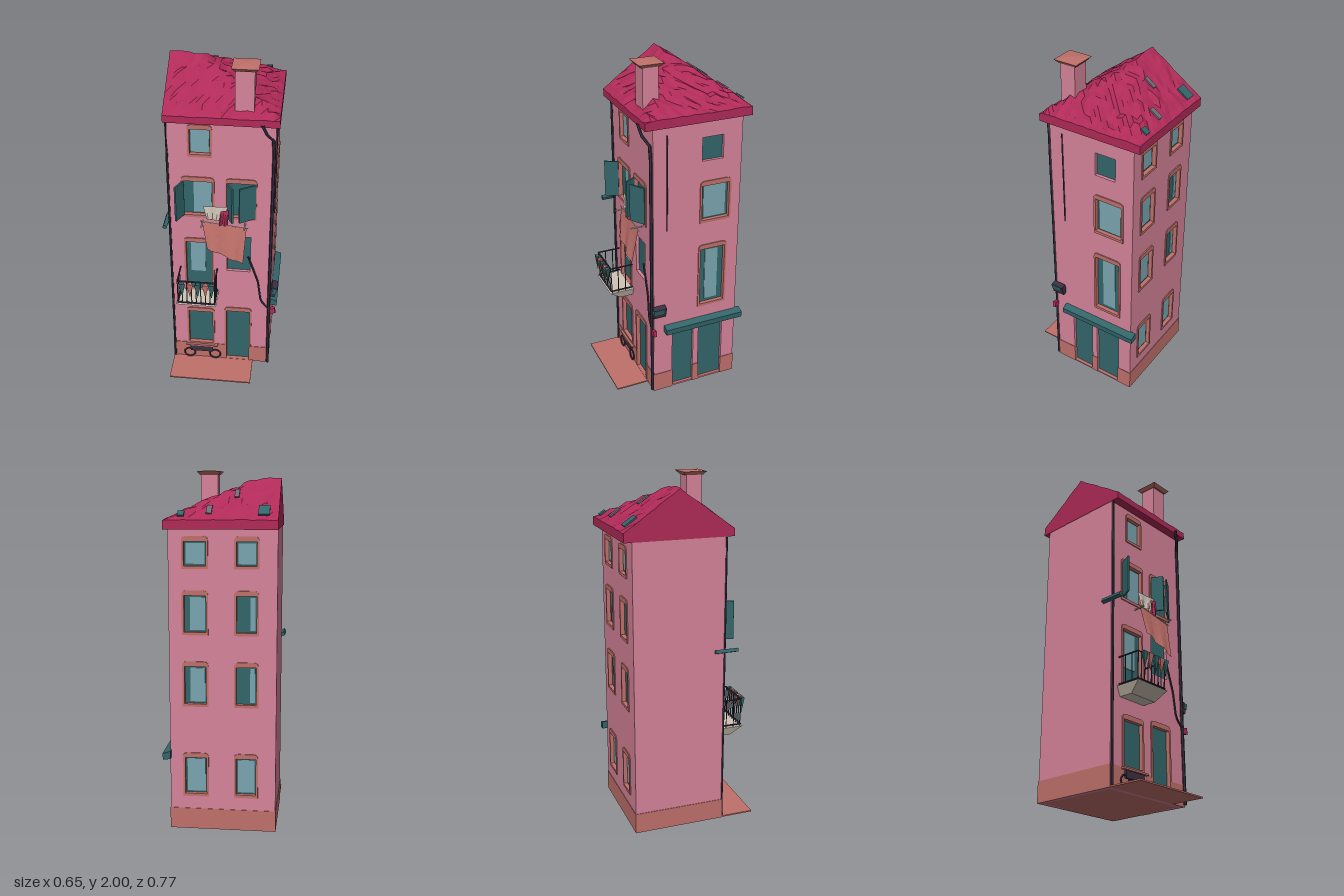
import * as THREE from 'three';

const mat = (name, color, extra = {}) => {
  const m = new THREE.MeshStandardMaterial({ color, flatShading: true, ...extra });
  m.name = name;
  return m;
};

export function createModel() {
  const DS = { side: THREE.DoubleSide };
  const pink = mat('pink plaster', 0xd6849a);
  const crimson = mat('crimson tile', 0xb02a58, DS);
  const terracotta = mat('terracotta', 0xc0706a, DS);
  const teal = mat('dark teal paint', 0x32666a, DS);
  const glass = mat('pale glass', 0x7aa5b0);
  const cream = mat('cream stone', 0xcfc5b6, DS);
  const dark = mat('dark metal', 0x3a3142, DS);
  const slate = mat('grey moss', 0x6c6a74, DS);

  const house = new THREE.Group();
  house.name = 'townhouse';
  const add = (name, geo, material, parent = house) => {
    const m = new THREE.Mesh(geo, material);
    m.name = name;
    parent.add(m);
    return m;
  };
  // Box given by its minimum and maximum corners
  const box = (name, x0, x1, y0, y1, z0, z1, material, parent) => {
    const m = add(name, new THREE.BoxGeometry(x1 - x0, y1 - y0, z1 - z0), material, parent);
    m.position.set((x0 + x1) / 2, (y0 + y1) / 2, (z0 + z1) / 2);
    return m;
  };
  const rect = (T, x0, x1, y0, y1) =>
    new T([[x0, y0], [x1, y0], [x1, y1], [x0, y1]].map(p => new THREE.Vector2(...p)));
  const V = p => new THREE.Vector3(...p);
  const tube = (name, pts, r, material, parent) =>
    add(name, new THREE.TubeGeometry(new THREE.CatmullRomCurve3(pts.map(V), false, 'catmullrom', 0.1), pts.length * 4, r, 6), material, parent);

  // Wall with recessed openings; each opening is [u0, u1, y0, y1, glass rectangle or null, has surround]
  const wall = (name, u0, u1, pos, turn, openings) => {
    const g = new THREE.Group();
    g.name = name;
    g.position.set(...pos);
    g.rotation.y = turn;
    house.add(g);
    const shape = rect(THREE.Shape, u0, u1, 0, 1.7);
    for (const [a, b, c, d] of openings) shape.holes.push(rect(THREE.Path, a - 0.003, b + 0.003, c - 0.003, d + 0.003));
    const geo = new THREE.ExtrudeGeometry(shape, { depth: 0.025, bevelEnabled: false });
    add('plaster', geo.translate(0, 0, -0.025), pink, g);
    for (const [a, b, c, d, pane, trim] of openings) {
      box('panel', a - 0.003, b + 0.003, c - 0.003, d + 0.003, -0.024, -0.018, teal, g);
      if (pane) box('pane', ...pane, -0.018, -0.014, glass, g);
      if (!trim) continue;
      const l = a - 0.012, r = b + 0.012, t = d + 0.028, e = Math.max(c - 0.016, 0.002);
      const s = new THREE.Shape();
      s.moveTo(l, e); s.lineTo(r, e); s.lineTo(r, t - 0.025);
      s.quadraticCurveTo(r, t, r - 0.025, t); s.lineTo(l + 0.025, t);
      s.quadraticCurveTo(l, t, l, t - 0.025); s.lineTo(l, e);
      s.holes.push(rect(THREE.Path, a, b, c, d));
      const f = new THREE.ExtrudeGeometry(s, { depth: 0.024, bevelEnabled: false, curveSegments: 3 });
      add('surround', f.translate(0, 0, -0.018), terracotta, g);
    }
    // Plinth band, broken at the doors
    let from = u0 - 0.003;
    const doors = openings.filter(o => o[2] < 0.1).sort((p, q) => p[0] - q[0]);
    for (const [a, b] of [...doors, [u1 + 0.003, 0]]) {
      box('plinth', from, a, 0, 0.12, -0.002, 0.003, terracotta, g);
      from = b;
    }
    return g;
  };

  const front = [
    [-0.175, -0.065, 1.48, 1.63, [-0.17, -0.07, 1.485, 1.625], true],
    [-0.215, -0.055, 1.09, 1.31, [-0.16, -0.06, 1.1, 1.3], true],
    [0.03, 0.18, 1.09, 1.31, null, true],
    [-0.21, -0.06, 0.55, 0.9, [-0.185, -0.1, 0.68, 0.89], true],
    [0.03, 0.16, 0.71, 0.95, null, false],
    [-0.205, -0.06, 0.13, 0.38, null, true],
    [0.025, 0.165, 0.01, 0.4, null, true],
  ];
  const right = [
    [0.1, 0.22, 1.46, 1.59, null, false],
    [0.1, 0.265, 1.1, 1.31, [0.115, 0.25, 1.11, 1.3], true],
    [0.097, 0.25, 0.55, 0.915, [0.135, 0.215, 0.57, 0.9], true],
    [-0.07, 0.06, 0.012, 0.41, null, false],
    [0.1, 0.25, 0.012, 0.41, null, false],
  ];
  const back = [];
  [[0.21, 0.42], [0.73, 0.94], [1.13, 1.33], [1.49, 1.62]].forEach(([c, d], row) => {
    for (const u of [-0.14, 0.14]) {
      const mostlyTeal = row === 1 || row === 2;
      const half = u > 0 ? 0.055 : 0.06;
      const left = u - half + (mostlyTeal ? (u > 0 ? 0.075 : 0.03) : 0.01);
      back.push([u - half, u + half, c, d, [left, u + half - 0.008, c + 0.01, d - 0.01], true]);
    }
  });
  wall('frontWall', -0.305, 0.285, [0, 0, 0.19], 0, front);
  wall('rightWall', -0.19, 0.335, [0.285, 0, 0], Math.PI / 2, right);
  wall('backWall', -0.285, 0.305, [0, 0, -0.335], Math.PI, back);
  wall('leftWall', -0.335, 0.19, [-0.305, 0, 0], -Math.PI / 2, []);
  box('floor', -0.304, 0.284, 0, 0.01, -0.334, 0.189, terracotta);
  box('pavement', -0.305, 0.19, 0, 0.008, 0.19, 0.39, terracotta);

  // Rough roof: gable at one end, hipped at the other
  const height = (x, z) => Math.min(
    1.725 + (0.24 - z) * 0.72, 1.735 + (z + 0.38) * 0.69, 1.735 + (0.305 - x) * 0.46, 1.95);
  const hash = (a, b) => {
    const s = Math.sin(Math.round(a * 500) * 12.99 + Math.round(b * 500) * 78.23) * 43758.5;
    return s - Math.floor(s);
  };
  const roofGeo = new THREE.BoxGeometry(0.612, 1, 0.62, 18, 1, 18).translate(-0.001, 0, -0.07);
  const p = roofGeo.attributes.position;
  for (let i = 0; i < p.count; i++) {
    const x = p.getX(i), z = p.getZ(i);
    const rim = x > 0.3 || x < -0.3 || z > 0.235 || z < -0.375;
    p.setY(i, p.getY(i) < 0 ? 1.685 : height(x, z) + (hash(x, z) - 0.5) * (rim ? 0.006 : 0.022));
  }
  add('roof', roofGeo, crimson);
  // Flat patches lying on the back slope
  for (const [x, z, w, d, m] of [[-0.23, -0.325, 0.06, 0.08, teal], [0.062, -0.32, 0.03, 0.07, slate],
    [0.21, -0.35, 0.035, 0.04, teal], [-0.075, -0.2, 0.025, 0.07, slate]]) {
    const patch = add('roofPatch', new THREE.BoxGeometry(w, 0.008, d), m);
    patch.position.set(x, height(x, z) + 0.011, z);
    patch.rotation.x = -Math.atan(0.69);
  }

  // Chimney with a flared cap
  box('chimneyStack', 0.068, 0.168, 1.72, 1.98, 0.105, 0.195, pink);
  const cap = add('chimneyCap', new THREE.CylinderGeometry(0.099, 0.075, 0.02, 4).rotateY(Math.PI / 4), terracotta);
  cap.position.set(0.119, 1.982, 0.15);
  const capTop = add('chimneyCapTop', new THREE.ConeGeometry(0.099, 0.008, 4).rotateY(Math.PI / 4), terracotta);
  capTop.position.set(0.119, 1.996, 0.15);

  // Awning over the side doors
  const awn = new THREE.Shape([[0.28, 0.46], [0.28, 0.415], [0.322, 0.41], [0.325, 0.445]].map(q => new THREE.Vector2(...q)));
  add('awning', new THREE.ExtrudeGeometry(awn, { depth: 0.49, bevelEnabled: false }).translate(0, 0, -0.365), teal);

  // Open shutters, each hinged at (x0, z0) and ending at (x1, z1)
  for (const [x0, z0, x1, z1] of [[-0.215, 0.197, -0.25, 0.27], [0.03, 0.197, 0.065, 0.26], [0.185, 0.197, 0.1, 0.25]]) {
    const s = add('shutter', new THREE.BoxGeometry(Math.hypot(x1 - x0, z1 - z0), 0.22, 0.01), teal);
    s.position.set((x0 + x1) / 2, 1.2, (z0 + z1) / 2);
    s.rotation.y = -Math.atan2(z1 - z0, x1 - x0);
  }

  // Balcony: tapered slab, leaning railing, pointed leaves
  const balcony = new THREE.Group();
  balcony.name = 'balcony';
  house.add(balcony);
  const slabGeo = new THREE.BoxGeometry(0.235, 0.055, 0.15).translate(-0.138, 0.522, 0.265);
  const sp = slabGeo.attributes.position;
  for (let i = 0; i < sp.count; i++) if (sp.getY(i) < 0.5) {
    sp.setX(i, -0.138 + (sp.getX(i) + 0.138) * 0.8);
    if (sp.getZ(i) > 0.3) sp.setZ(i, 0.27);
  }
  add('balconySlab', slabGeo, cream, balcony);
  const foot = [[-0.245, 0.195], [-0.245, 0.33], [-0.03, 0.33], [-0.03, 0.195]];
  for (const y of [0.56, 0.715])
    foot.slice(1).forEach(([x, z], i) => tube('rail', [[foot[i][0], y, foot[i][1]], [x, y, z]], 0.005, dark, balcony));
  for (let i = 0; i <= 8; i++) {
    const x = -0.245 + i * 0.215 / 8;
    tube('baluster', [[x, 0.55, 0.325], [x, 0.715, 0.332]], 0.003, i % 2 ? teal : dark, balcony);
  }
  for (const x of [-0.245, -0.03]) for (const z of [0.24, 0.285])
    tube('sideBaluster', [[x, 0.55, z], [x, 0.715, z]], 0.003, dark, balcony);
  const leafGeo = new THREE.ConeGeometry(0.022, 0.1, 3).rotateX(Math.PI);
  [-0.215, -0.17, -0.125, -0.08, -0.045].forEach((x, i) => {
    add('hangingLeaf', leafGeo, i % 2 ? terracotta : teal, balcony).position.set(x, 0.665, 0.348);
  });

  // Hanging cloth between four corners: top left, top right, bottom left, bottom right
  const cloth = (name, a, b, c, d, material) => {
    const geo = new THREE.PlaneGeometry(1, 1, 8, 4), q = geo.attributes.position;
    for (let i = 0; i < q.count; i++) {
      const u = q.getX(i) + 0.5, v = 0.5 - q.getY(i);
      const w = V(a).lerp(V(b), u).lerp(V(c).lerp(V(d), u), v);
      w.z += Math.sin(u * 12) * 0.008 * v;
      q.setXYZ(i, w.x, w.y, w.z);
    }
    return add(name, geo, material);
  };
  cloth('largeCloth', [-0.11, 1.07, 0.225], [0.14, 1.035, 0.22], [-0.08, 0.9, 0.25], [0.125, 0.815, 0.262], terracotta);
  cloth('creamCloth', [-0.105, 1.16, 0.21], [0.035, 1.165, 0.21], [-0.085, 1.08, 0.215], [0.0, 1.07, 0.215], cream);
  cloth('redCloth', [-0.005, 1.14, 0.22], [0.04, 1.15, 0.22], [-0.015, 1.055, 0.23], [0.035, 1.05, 0.23], crimson);
  tube('washingLine', [[-0.12, 1.07, 0.225], [0.15, 1.035, 0.22]], 0.003, cream);
  for (const x of [-0.11, 0.13]) tube('lineBracket', [[x, 1.05, 0.19], [x, 1.05, 0.26]], 0.005, cream);

  // Drainpipes and cable
  tube('rightDrainpipe', [[0.215, 1.7, 0.245], [0.22, 1.66, 0.25], [0.27, 1.61, 0.205], [0.278, 1.5, 0.2], [0.278, 0.5, 0.2], [0.283, 0.01, 0.2]], 0.009, dark);
  tube('leftDrainpipe', [[-0.298, 1.68, 0.197], [-0.298, 0.01, 0.197]], 0.007, dark);
  tube('cable', [[0.15, 0.82, 0.195], [0.21, 0.64, 0.195], [0.23, 0.5, 0.197], [0.29, 0.43, 0.2]], 0.006, dark);
  tube('wallConduit', [[0.288, 1.64, 0.11], [0.288, 1.08, 0.11]], 0.004, dark);

  // Wall lamp, red flag and side bracket
  box('lamp', 0.285, 0.318, 0.54, 0.605, 0.125, 0.2, dark).rotation.z = -0.25;
  box('lampShade', 0.3, 0.322, 0.565, 0.6, 0.14, 0.203, teal).rotation.z = -0.25;
  box('redFlag', 0.285, 0.318, 0.415, 0.45, 0.185, 0.205, crimson).rotation.z = 0.2;
  box('sideBracket', -0.325, -0.303, 1.035, 1.055, 0.135, 0.27, teal).rotation.z = -0.4;

  // Handcart against the wall
  const cart = new THREE.Group();
  cart.name = 'handcart';
  house.add(cart);
  box('cartBody', -0.2, -0.06, 0.065, 0.105, 0.193, 0.207, dark, cart);
  box('cartTop', -0.225, -0.03, 0.108, 0.118, 0.193, 0.21, terracotta, cart);
  for (const x of [-0.205, -0.045])
    add('cartWheel', new THREE.TorusGeometry(0.033, 0.005, 5, 14), dark, cart).position.set(x, 0.046, 0.203);

  return house;
}
